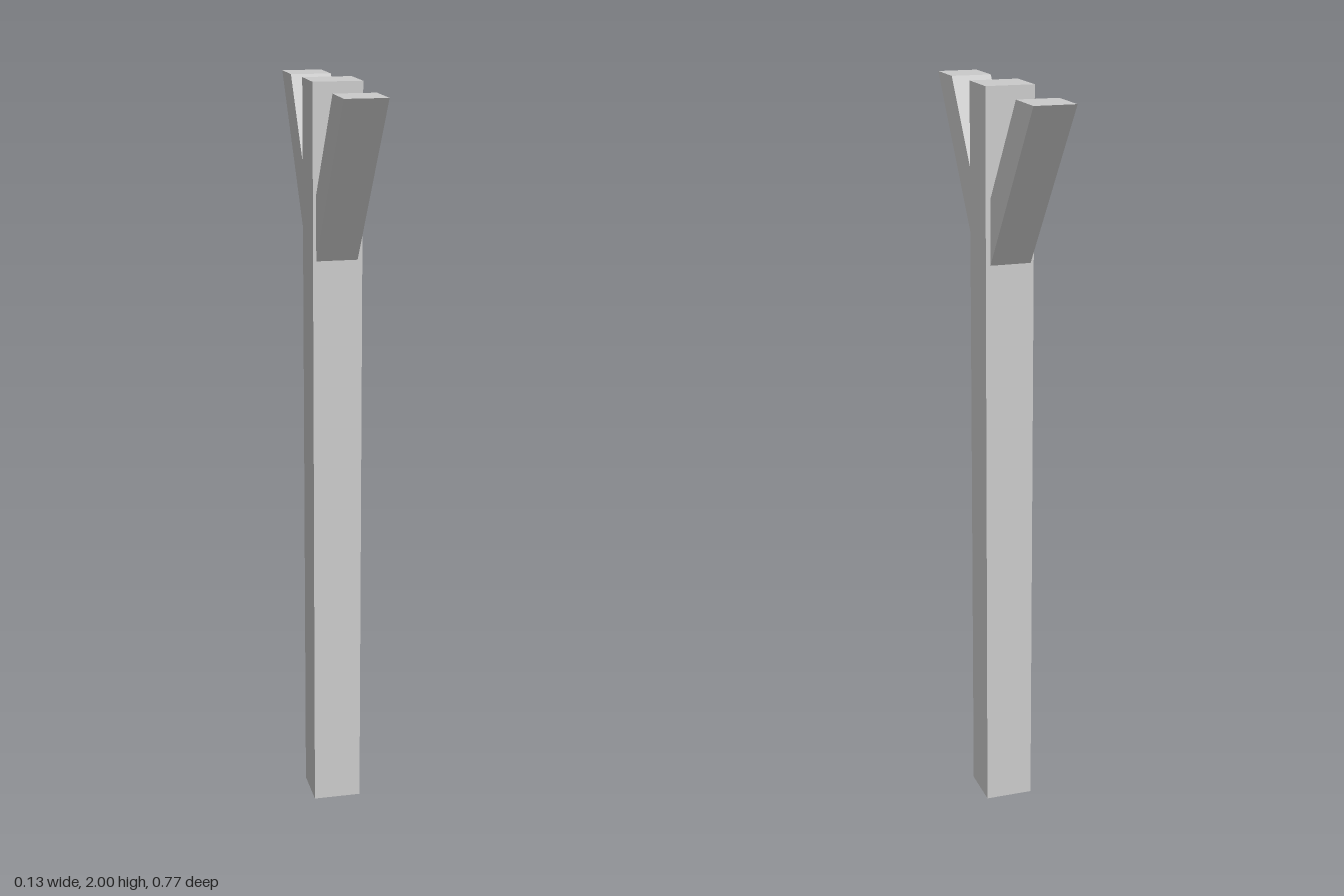
import * as THREE from 'three';

const POST = 0.13, HEIGHT = 2, BRACE = 0.109;

export function createModel() {
  const group = new THREE.Group();
  const material = new THREE.MeshStandardMaterial({ color: 0xcccccc, flatShading: true });

  // Square upright post
  const post = new THREE.Mesh(new THREE.BoxGeometry(POST, HEIGHT, POST), material);
  post.name = 'post';
  post.position.y = HEIGHT / 2;
  group.add(post);

  // Slanted brace: side profile (distance from the axis, height), level at the top
  const profile = new THREE.Shape([
    new THREE.Vector2(POST / 2, 1.547),
    new THREE.Vector2(0.387, 1.99),
    new THREE.Vector2(0.262, 1.99),
    new THREE.Vector2(POST / 2, 1.718),
  ]);
  const braceGeometry = new THREE.ExtrudeGeometry(profile, { depth: BRACE, bevelEnabled: false });
  braceGeometry.translate(0, 0, -BRACE / 2);

  // One brace to the front, one to the back
  for (const [name, side] of [['frontBrace', 1], ['backBrace', -1]]) {
    const brace = new THREE.Mesh(braceGeometry, material);
    brace.name = name;
    brace.rotation.y = -side * Math.PI / 2;
    brace.position.x = -0.002;
    group.add(brace);
  }

  return group;
}
